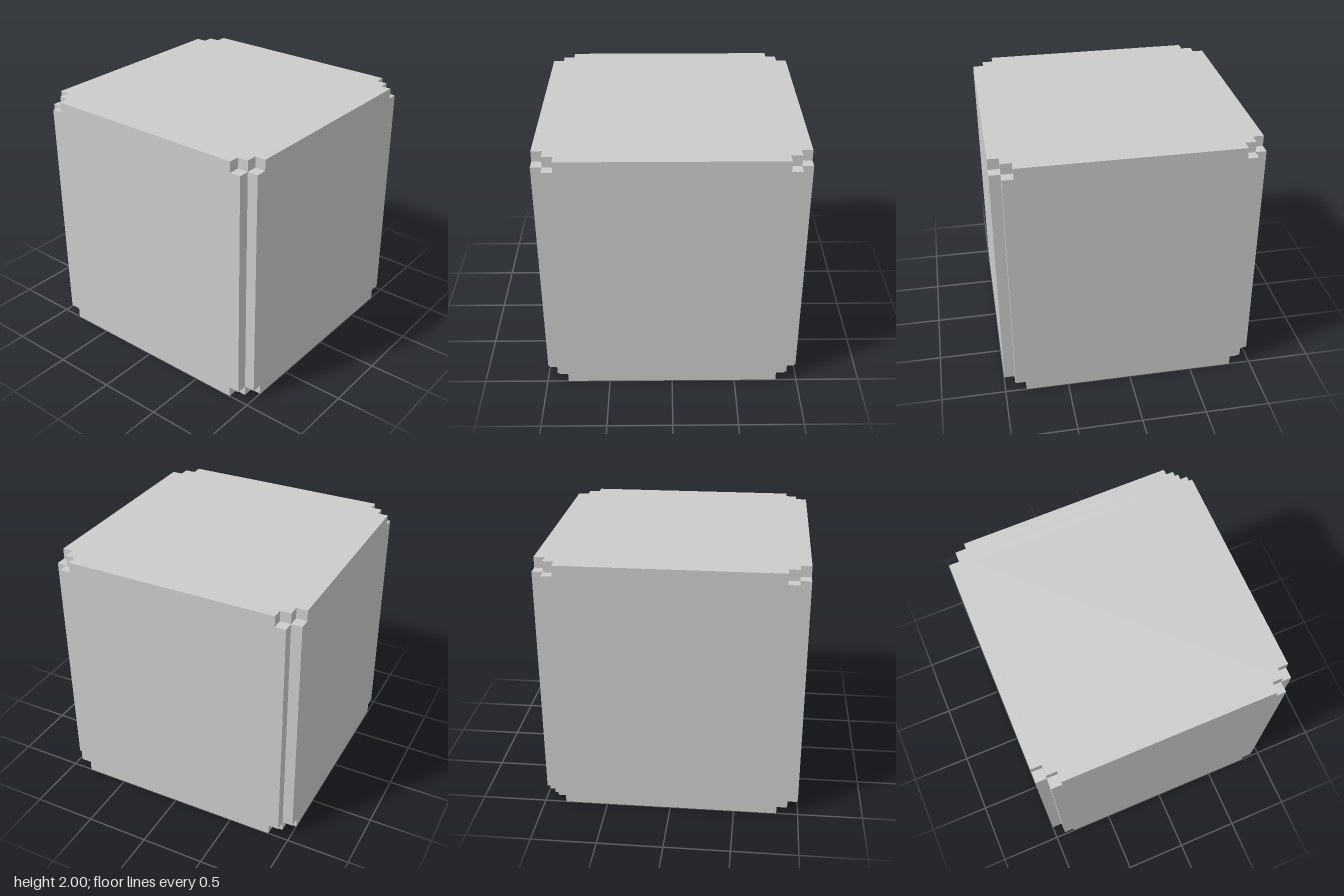
import * as THREE from 'three';

const C = 1 / 12; // notch size
const PLAN = [-1, -1 + C, -1 + 2 * C, 1 - 2 * C, 1 - C, 1]; // cell limits in x and z
const LIMITS = [PLAN, [0, C, 2 - C, 2], PLAN];

// Solid rule: vertical edges lose one cell, the end layers a wider stepped corner
function solid([i, j, k]) {
  if (i < 0 || i > 4 || k < 0 || k > 4 || j < 0 || j > 2) return false;
  const step = Math.min(i, 4 - i) + Math.min(k, 4 - k);
  return step > (j === 1 ? 0 : 1);
}

// Outer skin only: one quad per exposed cell face
function notchedBlockGeometry() {
  const positions = [];
  const addFace = (cell, axis, side) => {
    const u = (axis + 1) % 3, v = (axis + 2) % 3;
    const corners = [[0, 0], [1, 0], [1, 1], [0, 1]].map(([du, dv]) => {
      const index = [...cell];
      index[axis] += side;
      index[u] += du;
      index[v] += dv;
      return index.map((n, a) => LIMITS[a][n]);
    });
    if (!side) corners.reverse();
    for (const n of [0, 1, 2, 0, 2, 3]) positions.push(...corners[n]);
  };

  for (let i = 0; i < 5; i++) for (let j = 0; j < 3; j++) for (let k = 0; k < 5; k++) {
    const cell = [i, j, k];
    if (!solid(cell)) continue;
    for (let axis = 0; axis < 3; axis++) for (const side of [0, 1]) {
      const neighbour = [...cell];
      neighbour[axis] += side ? 1 : -1;
      if (!solid(neighbour)) addFace(cell, axis, side);
    }
  }

  const geometry = new THREE.BufferGeometry();
  geometry.setAttribute('position', new THREE.Float32BufferAttribute(positions, 3));
  geometry.computeVertexNormals();
  return geometry;
}

export function createModel() {
  const group = new THREE.Group();
  group.name = 'notchedCube';
  const material = new THREE.MeshStandardMaterial({ color: 0xcccccc, flatShading: true });
  const block = new THREE.Mesh(notchedBlockGeometry(), material);
  block.name = 'notchedBlock';
  group.add(block);
  return group;
}
